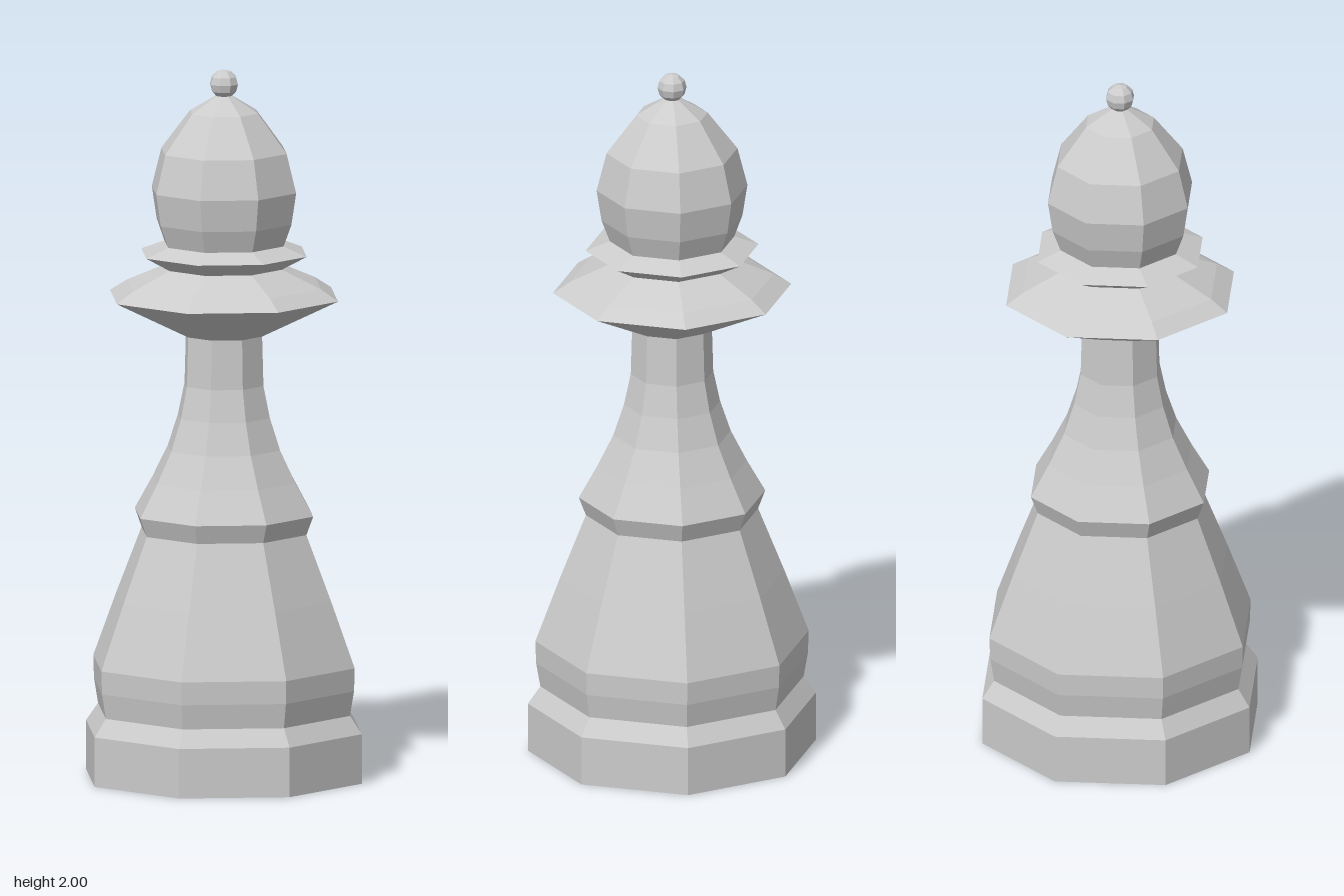
import * as THREE from 'three';

const SIDES = 8;

export function createModel() {
  const group = new THREE.Group();
  const material = new THREE.MeshStandardMaterial({ color: 0xcccccc, flatShading: true });

  // Octagonal turned part; profile points are [radius, height], bottom to top
  const turned = (name, profile) => {
    const points = profile.map(([r, y]) => new THREE.Vector2(r, y));
    const mesh = new THREE.Mesh(new THREE.LatheGeometry(points, SIDES), material);
    mesh.name = name;
    group.add(mesh);
  };

  // Plinth with chamfered top
  turned('base', [[0, 0], [0.405, 0], [0.405, 0.14], [0.37, 0.19]]);

  // Bulging lower body tapering to the waist ring
  turned('body', [[0.37, 0.19], [0.382, 0.26], [0.384, 0.325], [0.315, 0.51], [0.242, 0.695]]);

  // Waist ring
  turned('waistRing', [[0.242, 0.695], [0.262, 0.748]]);

  // Concave stem
  turned('stem', [[0.262, 0.748], [0.21, 0.84], [0.165, 0.93], [0.135, 1.02], [0.116, 1.11], [0.112, 1.25]]);

  // Wide flared collar
  turned('collar', [[0.112, 1.25], [0.335, 1.36], [0.285, 1.392], [0.17, 1.442]]);

  // Thin ring under the head
  turned('neckRing', [[0.17, 1.442], [0.243, 1.482], [0.175, 1.508]]);

  // Domed head
  turned('head', [[0.175, 1.508], [0.198, 1.57], [0.212, 1.66], [0.184, 1.77], [0.1, 1.88], [0, 1.94]]);

  // Finial ball
  const finial = new THREE.Mesh(new THREE.SphereGeometry(0.041, SIDES, 6), material);
  finial.name = 'finial';
  finial.position.y = 1.959;
  group.add(finial);

  return group;
}
